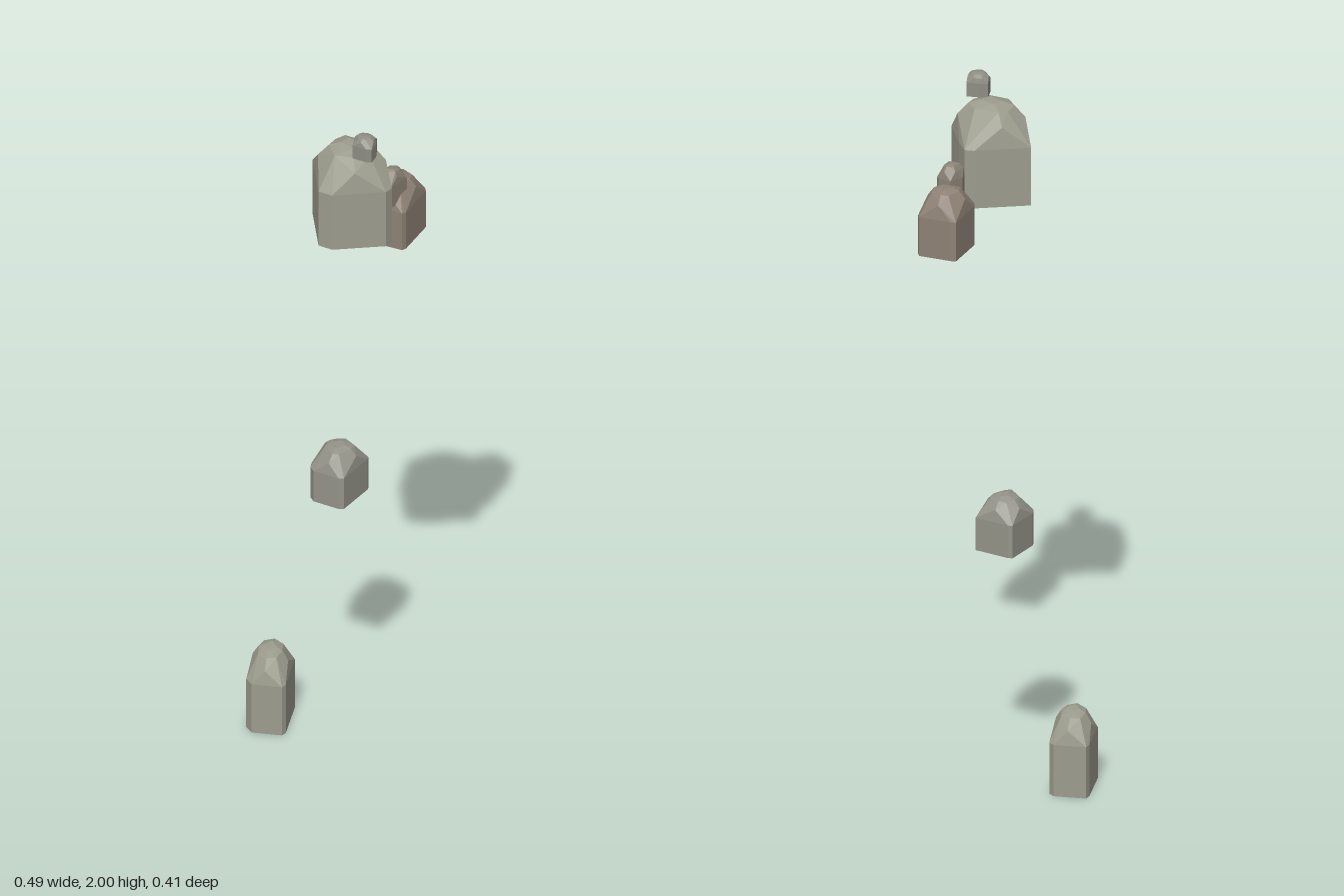
import * as THREE from 'three';
import { ConvexGeometry } from 'three/addons/geometries/ConvexGeometry.js';

// Faceted rock: upright sides over a footprint of [x, z] corners, with a chipped dome on top.
function makeRock({ name, color, bottom, top, outline, shoulder = 0.62 }) {
  const corners = outline.map(([x, z]) => new THREE.Vector2(x, z));
  const box = new THREE.Box2().setFromPoints(corners);
  const centre = box.getCenter(new THREE.Vector2());
  const size = box.getSize(new THREE.Vector2());
  const longEdge = 0.36 * Math.max(size.x, size.y);

  const points = [];
  const add = (p, scale, level) => {
    const q = p.clone().sub(centre).multiplyScalar(scale).add(centre);
    points.push(new THREE.Vector3(q.x, THREE.MathUtils.lerp(bottom, top, level), q.y));
  };

  corners.forEach((corner, i) => {
    // upright corner edge
    add(corner, 1, 0);
    add(corner, 1, shoulder);
    // chipped crown: a peak over each long side and small top facets
    const next = corners[(i + 1) % corners.length];
    if (corner.distanceTo(next) > longEdge) {
      const middle = corner.clone().lerp(next, i % 2 ? 0.42 : 0.58);
      add(middle, 0.92, 0.84);
      add(middle, 0.62, 0.96);
      add(middle, 0.3, 1);
      add(corner, 0.52, 0.945);
    }
  });

  const rock = new THREE.Mesh(
    new ConvexGeometry(points),
    new THREE.MeshStandardMaterial({ color, flatShading: true })
  );
  rock.name = name;
  return rock;
}

const ROCKS = [
  {
    name: 'lowestRock', color: 0x9c9c8e, bottom: 0, top: 0.23, shoulder: 0.66,
    outline: [[-0.213, -0.209], [-0.124, -0.191], [-0.113, -0.173], [-0.138, -0.034],
      [-0.149, -0.021], [-0.231, -0.037], [-0.246, -0.066], [-0.222, -0.191]],
  },
  {
    name: 'middleRock', color: 0x94948a, bottom: 0.71, top: 0.865,
    outline: [[-0.012, -0.204], [0, -0.202], [0.088, -0.145], [0.085, -0.134], [0.021, -0.03],
      [0.006, -0.029], [-0.063, -0.071], [-0.071, -0.095], [-0.067, -0.116]],
  },
  {
    name: 'brownRock', color: 0x8f8276, bottom: 1.565, top: 1.75,
    outline: [[0.142, -0.146], [0.156, -0.143], [0.242, -0.105], [0.244, -0.089],
      [0.19, 0.027], [0.179, 0.036], [0.09, -0.009], [0.09, -0.03]],
  },
  {
    name: 'brownPebble', color: 0x8c8478, bottom: 1.7, top: 1.8,
    outline: [[0.156, -0.052], [0.188, -0.03], [0.192, -0.018], [0.147, 0.043],
      [0.135, 0.039], [0.113, 0.013], [0.122, -0.023]],
  },
  {
    name: 'largeRock', color: 0x9c9c8e, bottom: 1.665, top: 1.94,
    outline: [[-0.065, 0.009], [-0.044, 0.007], [0.09, -0.011], [0.117, -0.005], [0.131, 0.045],
      [0.151, 0.164], [0.135, 0.186], [-0.012, 0.205], [-0.049, 0.182]],
  },
  {
    name: 'topPebble', color: 0x8e8e84, bottom: 1.935, top: 2,
    outline: [[0.051, 0.127], [0.078, 0.129], [0.11, 0.136], [0.108, 0.166],
      [0.096, 0.196], [0.081, 0.195], [0.044, 0.173]],
  },
];

export function createModel() {
  const group = new THREE.Group();
  group.name = 'floatingRocks';
  ROCKS.forEach((rock) => group.add(makeRock(rock)));
  return group;
}
